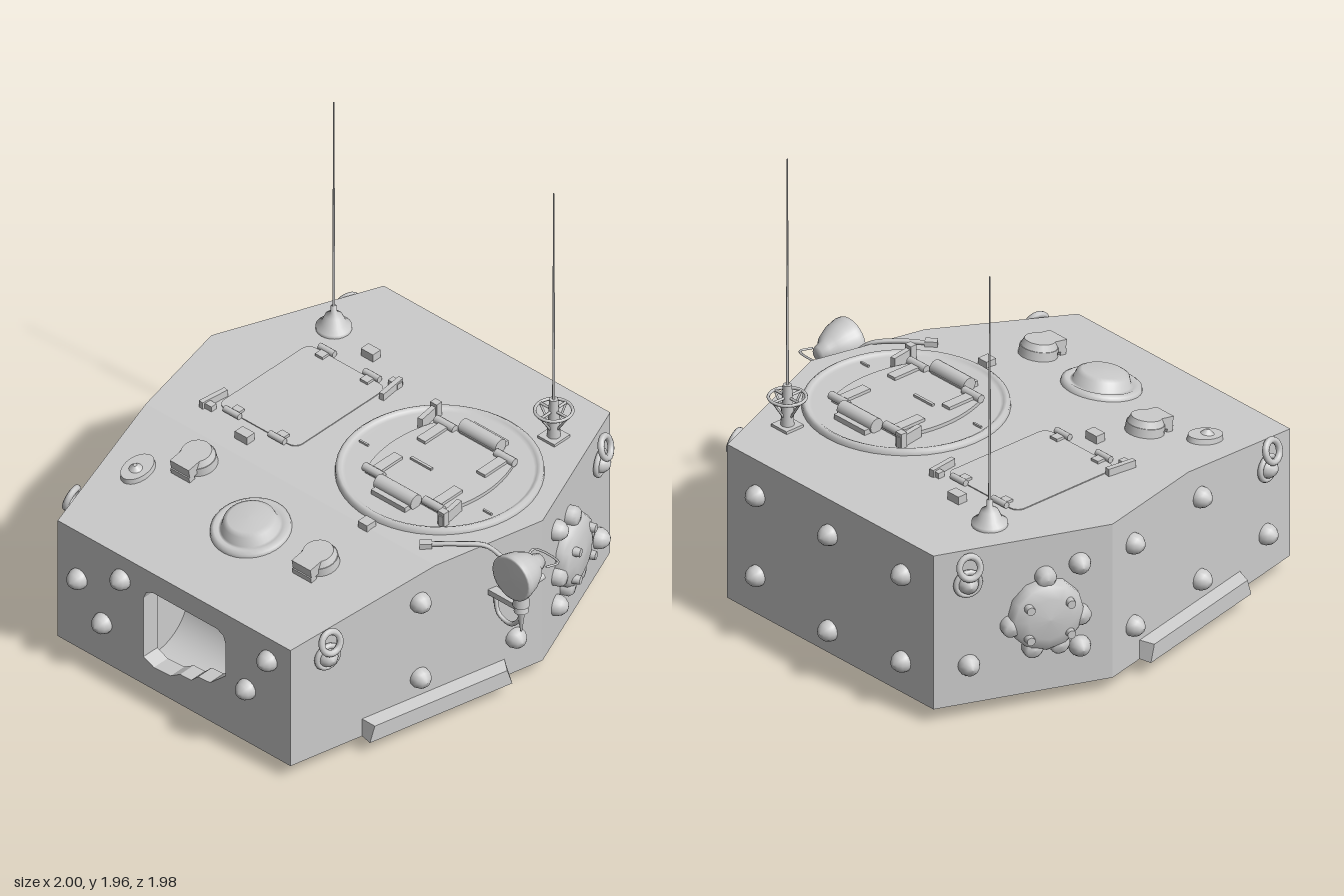
import * as THREE from 'three';

const mat = new THREE.MeshStandardMaterial({ color: 0xcccccc, side: THREE.DoubleSide });
const flat = new THREE.MeshStandardMaterial({ color: 0xcccccc, side: THREE.DoubleSide, flatShading: true });
const V = (x, y, z) => new THREE.Vector3(x, y, z);

function add(parent, name, geo, p = [0, 0, 0], r = [0, 0, 0], m = mat) {
  const mesh = new THREE.Mesh(geo, m);
  mesh.name = name;
  mesh.position.set(...p);
  mesh.rotation.set(...r);
  parent.add(mesh);
  return mesh;
}
function group(parent, name, p = [0, 0, 0], r = [0, 0, 0]) {
  const g = new THREE.Group();
  g.name = name;
  g.position.set(...p);
  g.rotation.set(...r);
  parent.add(g);
  return g;
}
const box = (x, y, z) => new THREE.BoxGeometry(x, y, z);
const cyl = (a, b, h, n = 16) => new THREE.CylinderGeometry(a, b, h, n);
const lathe = (pts, n = 24) => new THREE.LatheGeometry(pts.map(p => new THREE.Vector2(...p)), n);
const tube = (pts, r, n = 20) => new THREE.TubeGeometry(new THREE.CatmullRomCurve3(pts.map(p => V(...p))), n, r, 6);

// Main dimensions: plan is symmetrical about x = CX
const CX = -0.092, BASE = 0.065, ROOF = 0.755, LIP = 0.635;
const ZF = 0.925, ZW = -0.25, ZB = -0.945, ZS = 0.25;
const HF = 0.622, HW = 0.885, HB = 0.605, TILT = Math.atan((ROOF - LIP) / (ZF - ZS));
const half = z => z > ZW ? HW + (HF - HW) * (z - ZW) / (ZF - ZW) : HW + (HB - HW) * (z - ZW) / (ZB - ZW);
const roofY = z => z > ZS ? ROOF + (LIP - ROOF) * (z - ZS) / (ZF - ZS) : ROOF;

// A frame on a side wall whose local +z points outward
function onSide(parent, name, s, y, z) {
  const n = z > ZW ? [ZF - ZW, HW - HF] : [ZW - ZB, HB - HW];
  return group(parent, name, [CX + s * half(z), y, z], [0, Math.atan2(s * n[0], n[1]), 0]);
}

function polygons(faces) {
  const pos = [];
  for (const f of faces)
    for (let i = 1; i < f.length - 1; i++) pos.push(...f[0], ...f[i], ...f[i + 1]);
  const g = new THREE.BufferGeometry();
  g.setAttribute('position', new THREE.Float32BufferAttribute(pos, 3));
  g.computeVertexNormals();
  return g;
}

function hull(root) {
  const P = (s, y, z) => [CX + s * half(z), y, z];
  const faces = [
    [P(-1, ROOF, ZS), P(-1, LIP, ZF), P(1, LIP, ZF), P(1, ROOF, ZS)],
    [P(-1, ROOF, ZW), P(-1, ROOF, ZS), P(1, ROOF, ZS), P(1, ROOF, ZW)],
    [P(-1, ROOF, ZB), P(-1, ROOF, ZW), P(1, ROOF, ZW), P(1, ROOF, ZB)],
    [P(1, BASE, ZB), P(-1, BASE, ZB), P(-1, ROOF, ZB), P(1, ROOF, ZB)],
    [P(1, BASE, ZF), P(-1, BASE, ZF), P(-1, BASE, ZW), P(-1, BASE, ZB), P(1, BASE, ZB), P(1, BASE, ZW)],
  ];
  for (const s of [1, -1]) {
    const a = [P(s, BASE, ZF), P(s, BASE, ZW), P(s, ROOF, ZW), P(s, ROOF, ZS), P(s, LIP, ZF)];
    const b = [P(s, BASE, ZW), P(s, BASE, ZB), P(s, ROOF, ZB), P(s, ROOF, ZW)];
    faces.push(s > 0 ? a : a.reverse(), s > 0 ? b : b.reverse());
  }
  add(root, 'hullShell', polygons(faces));

  // Front plate with the gun opening and the hollow behind it
  const plate = new THREE.Shape([[-HF, BASE], [HF, BASE], [HF, LIP], [-HF, LIP]].map(p => new THREE.Vector2(p[0] + CX, p[1])));
  plate.holes.push(new THREE.Path([[-0.255, 0.2], [-0.2, 0.175], [-0.11, 0.18], [-0.06, 0.213], [0, 0.215], [0.035, 0.25],
    [0.1, 0.255], [0.182, 0.33], [0.182, 0.49], [0.17, 0.525], [0.135, 0.54], [-0.205, 0.54], [-0.24, 0.525], [-0.255, 0.49]]
    .map(p => new THREE.Vector2(...p))));
  add(root, 'frontPlate', new THREE.ExtrudeGeometry(plate, { depth: 0.08, bevelEnabled: false }), [0, 0, ZF - 0.08]);
  const pocket = new THREE.CylinderGeometry(0.19, 0.19, 0.46, 24, 1, false, Math.PI / 2, Math.PI).rotateZ(Math.PI / 2);
  add(root, 'gunPocket', pocket, [-0.035, 0.36, ZF - 0.08]);

  // Turret ring below the hull
  add(root, 'turretRing', lathe([[0.655, 0.07], [0.655, 0], [0.685, 0], [0.685, 0.07]], 40), [CX, 0, 0.12], [0, 0, 0], flat);
}

function sideParts(root) {
  const stud = lathe([[0.044, 0], [0.044, 0.014], [0.036, 0.034], [0.02, 0.05], [0, 0.056]], 16).rotateX(Math.PI / 2);
  for (const [x, y] of [[-0.37, 0.525], [-0.6, 0.41], [-0.467, 0.26], [0.415, 0.53], [0.3, 0.33]]) add(root, 'frontStud', stud, [x, y, ZF]);
  for (const [x, y] of [[-0.52, 0.6], [-0.09, 0.6], [0.335, 0.6], [-0.52, 0.21], [-0.09, 0.17], [0.335, 0.24]])
    add(root, 'rearStud', stud, [x, y, ZB], [0, Math.PI, 0]);
  add(onSide(root, 'cornerStud', -1, 0.24, 0.76), 'stud', stud);

  for (const s of [1, -1]) {
    for (const [z, y] of [[0.325, 0.61], [0.325, 0.24], [-0.12, 0.61], [-0.12, 0.24], [-0.38, 0.61], [-0.38, 0.24], [-0.81, 0.24]])
      add(onSide(root, 'sideStud', s, y, z), 'stud', stud);

    // Lifting eyes
    for (const [z, y] of [[0.76, 0.58], [-0.815, 0.65]]) {
      const eye = onSide(root, 'liftingEye', s, y, z);
      add(eye, 'eyeStud', stud, [0, -0.04, 0]);
      add(eye, 'eyeLoop', new THREE.TorusGeometry(0.043, 0.014, 8, 20).scale(1, 1.05, 1), [0, 0.043, 0.035], [-0.3, 0, 0]);
      add(eye, 'eyeCollar', new THREE.TorusGeometry(0.05, 0.012, 8, 20), [0, -0.04, 0.012]);
    }

    // Skirt bar with bevelled top and ends
    const bar = box(0.68, 0.085, 0.055), p = bar.attributes.position;
    for (let i = 0; i < p.count; i++)
      if (p.getY(i) > 0 && p.getZ(i) > 0) p.setXYZ(i, p.getX(i) * 0.93, p.getY(i) - 0.012, p.getZ(i));
    bar.computeVertexNormals();
    add(onSide(root, 'skirtBar', s, BASE + 0.0425, 0.26), 'bar', bar, [0, 0, 0.027]);

    // Domed side port with clamp lobes
    const port = onSide(root, 'sidePort', s, 0.415, -0.515);
    add(port, 'portDome', lathe([[0.155, 0], [0.155, 0.03], [0.14, 0.05], [0.09, 0.068], [0, 0.075]], 12).rotateX(Math.PI / 2));
    for (const [x, y] of [[0, 0.165], [0.145, -0.03], [0.055, -0.14], [-0.055, -0.14], [-0.145, -0.03]])
      add(port, 'portLobe', lathe([[0.042, 0], [0.042, 0.03], [0.03, 0.045], [0, 0.05]], 14).rotateX(Math.PI / 2), [x, y, 0]);
    for (const x of [-0.085, 0.085]) for (const y of [0.06, -0.075])
      add(port, 'portBoss', cyl(0.018, 0.022, 0.05, 10).rotateX(Math.PI / 2), [x, y, 0.06]);
  }
}

// Round commander's hatch
function cupola(root) {
  const g = group(root, 'cupola', [0.28, ROOF, -0.21]);
  add(g, 'cupolaRim', lathe([[0.412, 0], [0.41, 0.018], [0.398, 0.027], [0.384, 0.02], [0.372, 0.01], [0, 0.012]], 48));
  const lid = new THREE.Shape();
  lid.moveTo(-0.2, -0.215);
  lid.lineTo(0.2, -0.215);
  lid.quadraticCurveTo(0.29, 0, 0.2, 0.215);
  lid.lineTo(-0.2, 0.215);
  lid.quadraticCurveTo(-0.29, 0, -0.2, -0.215);
  add(g, 'cupolaLid', new THREE.ExtrudeGeometry(lid, { depth: 0.016, bevelEnabled: false }).rotateX(-Math.PI / 2), [0, 0.01, 0]);
  for (const s of [1, -1]) {
    add(g, 'lidRoll', cyl(0.032, 0.032, 0.2).rotateZ(Math.PI / 2), [0, 0.037, s * 0.245]);
    add(g, 'lidRollBase', box(0.18, 0.025, 0.09), [0, 0.02, s * 0.255]);
    for (const x of [-0.16, 0.16]) {
      add(g, 'lidHinge', box(0.045, 0.026, 0.15), [x, 0.026, s * 0.14]);
      add(g, 'hingePin', cyl(0.018, 0.018, 0.1, 10).rotateZ(Math.PI / 2), [x, 0.034, s * 0.208]);
    }
    add(g, 'lidCatch', box(0.022, 0.05, 0.13), [s * 0.245, 0.035, s * 0.205], [0, 0.15, 0]);
    add(g, 'catchPost', box(0.035, 0.07, 0.03), [s * 0.25, 0.04, s * 0.25]);
    add(g, 'rimTick', box(0.045, 0.01, 0.008), [s * 0.33, 0.014, 0.08]);
  }
  add(g, 'lidHandle', box(0.11, 0.012, 0.012), [-0.06, 0.03, 0.04]);
}

// Rectangular hatch on the other side
function loaderHatch(root) {
  const g = group(root, 'loaderHatch', [-0.445, ROOF, -0.2]);
  const w = 0.21, h = 0.265, r = 0.04, shape = new THREE.Shape();
  shape.moveTo(-w + r, -h);
  for (const [cx, cy, a] of [[w - r, -h + r, -0.5], [w - r, h - r, 0], [-w + r, h - r, 0.5], [-w + r, -h + r, 1]])
    shape.absarc(cx, cy, r, a * Math.PI, (a + 0.5) * Math.PI, false);
  add(g, 'hatchPlate', new THREE.ExtrudeGeometry(shape, { depth: 0.004, bevelEnabled: false }).rotateX(-Math.PI / 2));
  for (const s of [1, -1]) {
    for (const x of [-0.12, 0.12]) {
      add(g, 'hatchHinge', cyl(0.014, 0.014, 0.08, 10).rotateZ(Math.PI / 2), [x, 0.014, s * 0.275]);
      add(g, 'hingeLeaf', box(0.04, 0.015, 0.05), [x, 0.008, s * 0.25]);
    }
    add(g, 'hatchCatch', box(0.022, 0.032, 0.13), [s * 0.235, 0.016, -s * 0.26], [0, s * 0.12, 0]);
    add(g, 'catchFoot', box(0.05, 0.025, 0.03), [s * 0.22, 0.012, -s * 0.3]);
    add(g, 'hatchStop', box(0.065, 0.035, 0.045), [0.02, 0.0175, -0.01 + s * 0.365]);
  }
}

function roofParts(root) {
  // Domed vent on the sloping roof
  add(root, 'vent', lathe([[0.163, 0], [0.16, 0.015], [0.145, 0.024], [0.128, 0.016], [0.118, 0.018], [0.105, 0.055], [0.085, 0.066], [0, 0.068]], 36),
    [-0.055, roofY(0.52), 0.52], [TILT, 0, 0]);

  // Periscope hoods
  for (const [x, z] of [[-0.475, 0.37], [0.295, 0.5]]) {
    const g = group(root, 'periscope', [x, roofY(z), z], [TILT, 0, 0]);
    add(g, 'periscopeBase', cyl(0.077, 0.08, 0.045, 24), [0, 0.015, 0]);
    add(g, 'periscopeCap', cyl(0.062, 0.075, 0.03, 24), [0, 0.05, 0]);
    add(g, 'periscopeHood', box(0.1, 0.05, 0.11), [0, 0.04, 0.045]);
    add(g, 'periscopeFoot', box(0.1, 0.03, 0.03), [0, 0.01, 0.09]);
  }
  const port = group(root, 'sightPort', [-0.64, roofY(0.54), 0.54], [TILT, 0, 0]);
  add(port, 'portPlate', cyl(0.055, 0.058, 0.024, 24).scale(1, 1, 1.45), [0, 0.01, 0]);
  add(port, 'portCone', cyl(0.008, 0.03, 0.02, 14), [0, 0.03, 0.01]);
  add(root, 'roofBlock', box(0.05, 0.03, 0.05), [0.31, roofY(0.245) + 0.012, 0.245]);

  // Aerials
  const a = group(root, 'aerial', [-0.655, ROOF, -0.61]);
  add(a, 'aerialCone', lathe([[0.072, 0], [0.072, 0.015], [0.05, 0.03], [0.035, 0.065], [0.014, 0.08], [0.012, 0.11], [0, 0.11]]));
  add(a, 'aerialRod', cyl(0.0025, 0.006, 1.04, 8), [0, 0.595, 0]);
  const b = group(root, 'guardedAerial', [0.46, ROOF, -0.675]);
  add(b, 'aerialFoot', box(0.09, 0.012, 0.09), [0, 0.006, 0]);
  add(b, 'aerialStem', cyl(0.018, 0.028, 0.19), [0, 0.095, 0]);
  add(b, 'guardRing', new THREE.TorusGeometry(0.075, 0.007, 6, 32).rotateX(Math.PI / 2), [0, 0.135, 0]);
  for (let i = 0; i < 4; i++) {
    const t = i * Math.PI / 2, c = Math.cos(t), s = Math.sin(t);
    add(b, 'guardSpoke', tube([[0, 0.135, 0], [c * 0.075, 0.135, s * 0.075]], 0.006, 2));
    add(b, 'guardBrace', tube([[c * 0.075, 0.135, s * 0.075], [c * 0.02, 0.05, s * 0.02]], 0.005, 2));
  }
  add(b, 'aerialRod', cyl(0.0025, 0.006, 1.04, 8), [0, 0.685, 0]);
}

// Spotlight on its bracket and lead
function spotlight(root) {
  const g = group(root, 'spotlight', [0.9, 0.69, 0]);
  add(g, 'lampBody', lathe([[0, -0.12], [0.03, -0.118], [0.042, -0.085], [0.065, -0.06], [0.088, -0.015], [0.097, 0.02], [0.1, 0.03], [0.1, 0.048], [0.09, 0.05], [0, 0.053]], 28).rotateX(Math.PI / 2));
  add(g, 'lampBail', tube([[-0.05, 0, -0.1], [-0.065, 0, -0.155], [0.065, 0, -0.155], [0.05, 0, -0.1]], 0.005));
  add(g, 'lampNeck', cyl(0.025, 0.035, 0.08), [0, -0.12, -0.01]);
  add(g, 'lampPivot', cyl(0.02, 0.03, 0.04), [0, -0.17, -0.01]);
  add(g, 'lampSpike', cyl(0.018, 0.004, 0.11, 10), [0, -0.235, -0.01]);
  add(g, 'bracketArm', box(0.2, 0.025, 0.04), [-0.085, -0.175, -0.015]);
  add(g, 'lampLead', tube([[0, -0.17, -0.01], [-0.01, -0.24, -0.01], [-0.06, -0.285, -0.01], [-0.12, -0.265, -0.01], [-0.15, -0.18, -0.02]], 0.01));
  add(g, 'sideKnob', cyl(0.014, 0.014, 0.07, 10).rotateX(Math.PI / 2), [0, -0.09, -0.1]);
  add(root, 'roofLead', tube([[0.57, 0.765, 0.18], [0.66, 0.768, 0.1], [0.74, 0.755, 0.02], [0.8, 0.7, -0.02], [0.85, 0.69, -0.03]], 0.011));
  add(root, 'leadSocket', box(0.05, 0.025, 0.035), [0.57, 0.765, 0.185], [0, 0.75, 0]);
}

export function createModel() {
  const root = new THREE.Group();
  root.name = 'turret';
  hull(group(root, 'hull'));
  sideParts(group(root, 'sideFittings'));
  cupola(root);
  loaderHatch(root);
  roofParts(group(root, 'roofFittings'));
  spotlight(root);
  return root;
}
